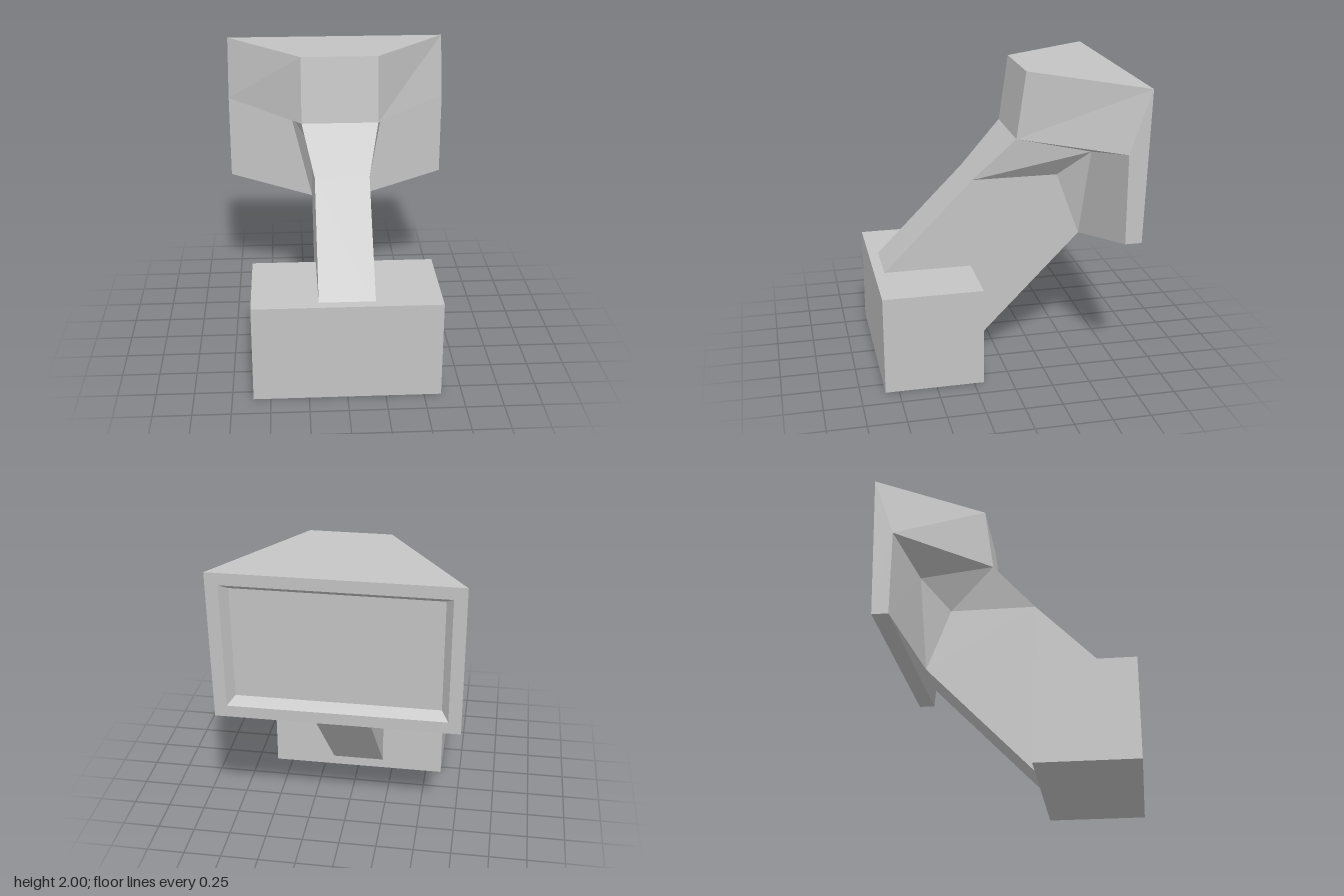
import * as THREE from 'three';

const mirror = ([x, y, z]) => [-x, y, z];
// a face on the left side plus its mirror image
const pair = (...p) => [p, p.map(mirror).reverse()];
// a quad spanning from an edge on the left to its mirror image
const span = (p, q) => [p, q, mirror(q), mirror(p)];

// flat-shaded mesh from convex polygons
function facets(name, polygons, material) {
  const pos = [];
  for (const p of polygons) {
    for (let i = 1; i < p.length - 1; i++) pos.push(...p[0], ...p[i], ...p[i + 1]);
  }
  const geo = new THREE.BufferGeometry();
  geo.setAttribute('position', new THREE.Float32BufferAttribute(pos, 3));
  geo.computeVertexNormals();
  const mesh = new THREE.Mesh(geo, material);
  mesh.name = name;
  return mesh;
}

export function createModel() {
  const group = new THREE.Group();
  group.name = 'displayStand';
  const grey = new THREE.MeshStandardMaterial({ color: 0xc4c4c4 });
  grey.name = 'grey';

  // base block
  const base = new THREE.Mesh(new THREE.BoxGeometry(1.224, 0.66, 0.655), grey);
  base.name = 'base';
  base.position.set(0, 0.33, 0.511);
  group.add(base);

  // corners of the neck, on the left side
  const footFront = [0.182, 0.61, 0.82], footBack = [0.182, 0.03, 0.22];
  const bendFront = [0.182, 1.27, 0.17], bendBack = [0.182, 1.27, -0.41];
  const neckBack = [0.182, 0.84, -0.57];
  const flareBack = [0.33, 1.46, -0.6];
  // corners of the head, on the left side
  const chin = [0.26, 1.555, -0.11], brow = [0.26, 2, -0.172];
  const cheek = [0.775, 1.56, -0.7], jaw = [0.775, 0.97, -0.7];
  const rearLow = [0.775, 0.97, -0.81], rearTop = [0.775, 1.97, -0.84];

  // leaning neck that flares into the head
  group.add(facets('neck', [
    ...pair(footFront, footBack, neckBack, bendBack, bendFront),
    ...pair(bendFront, bendBack, flareBack, chin),
    ...pair(bendBack, neckBack, flareBack),
    span(footFront, bendFront),
    span(bendFront, chin),
    span(neckBack, footBack),
    span(footBack, footFront),
  ], grey));

  // wedge-shaped head housing
  group.add(facets('head', [
    ...pair(chin, flareBack, cheek),
    ...pair(neckBack, jaw, cheek, flareBack),
    ...pair(chin, cheek, rearTop, brow),
    ...pair(jaw, rearLow, rearTop, cheek),
    span(chin, brow),
    span(brow, rearTop),
    span(rearLow, jaw),
    span(jaw, neckBack),
  ], grey));

  // rectangle on the rear plane, inset from its rim and sunk inwards
  const ring = (inset, depth) => [[1, 0], [-1, 0], [-1, 1], [1, 1]].map(([sx, top]) => {
    const y = top ? 1.97 - inset : 0.97 + inset;
    return [sx * (0.775 - inset), y, -0.81 - 0.03 * (y - 0.97) + depth];
  });
  const band = (a, b) => a.map((p, i) => [p, a[(i + 1) % 4], b[(i + 1) % 4], b[i]]);
  const rim = ring(0, 0), opening = ring(0.08, 0), floor = ring(0.125, 0.065);
  group.add(facets('screenFrame', band(rim, opening), grey));
  group.add(facets('screenBevel', band(opening, floor), grey));
  group.add(facets('screen', [floor], grey));

  return group;
}
